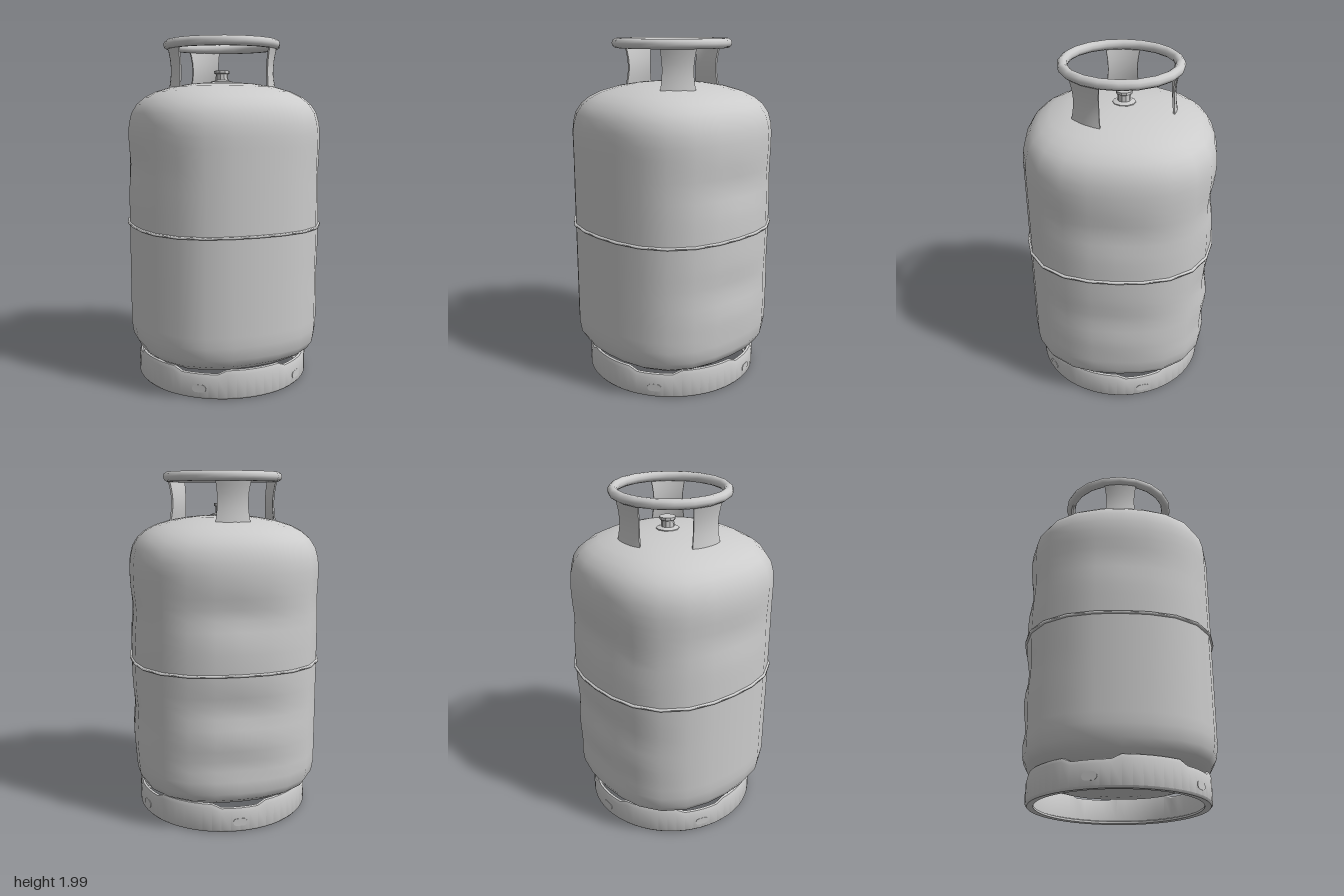
import * as THREE from 'three';
import { mergeVertices, toCreasedNormals } from 'three/addons/utils/BufferGeometryUtils.js';

const material = new THREE.MeshStandardMaterial({ color: 0xcccccc });
const DEG = Math.PI / 180;
const SEAM_Y = 0.93;

function add(group, name, geometry) {
  const mesh = new THREE.Mesh(geometry, material);
  mesh.name = name;
  group.add(mesh);
  return mesh;
}

const lathe = (profile, sides) =>
  new THREE.LatheGeometry(profile.map(([r, y]) => new THREE.Vector2(r, y)), sides);

// Moves every vertex with a rule on a Vector3
function deform(geometry, rule) {
  const p = geometry.attributes.position;
  const v = new THREE.Vector3();
  for (let i = 0; i < p.count; i++) {
    rule(v.fromBufferAttribute(p, i));
    p.setXYZ(i, v.x, v.y, v.z);
  }
  return geometry;
}

// Welds a geometry so its normals are smooth all over
function smooth(geometry) {
  geometry.deleteAttribute('uv');
  geometry.deleteAttribute('normal');
  const welded = mergeVertices(geometry, 1e-4);
  welded.computeVertexNormals();
  return welded;
}

// Signed angle between two azimuths, in radians
const angleGap = (a, b) => Math.atan2(Math.sin(a - b), Math.cos(a - b));

// Dents: azimuth from +z in degrees, height, depth
const dents = [
  [180, 1.24, 0.03], [180, 0.72, 0.03], [180, 0.4, 0.025],
  [90, 1.22, 0.018], [90, 0.63, 0.015], [90, 0.32, 0.012],
  [270, 1.28, 0.015],
];

// Makes the round section slightly square and pushes the dents in
function shapeBody(v) {
  const r = Math.hypot(v.x, v.z);
  if (r < 1e-5) return;
  const a = Math.atan2(v.x, v.z);
  const outer = Math.min(1, r / 0.54);
  let scale = 1 + 0.075 * outer * Math.sin(2 * a) ** 2;
  for (const [az, y, depth] of dents) {
    const da = angleGap(a, az * DEG) / 0.5;
    const dy = (v.y - y) / 0.1;
    scale -= (depth / 0.545) * Math.exp(-da * da - dy * dy);
  }
  v.x *= scale;
  v.z *= scale;
}

export function createModel() {
  const model = new THREE.Group();
  model.name = 'gasCylinder';

  // Tank with domed ends
  const profile = [[0, 0.11], [0.2, 0.115], [0.36, 0.135], [0.46, 0.17], [0.51, 0.205], [0.535, 0.25]];
  for (let y = 0.32; y < 1.47; y += 0.06) profile.push([0.545, y]);
  profile.push([0.54, 1.52], [0.525, 1.58], [0.495, 1.63], [0.45, 1.67], [0.39, 1.702],
    [0.3, 1.73], [0.2, 1.747], [0.1, 1.756], [0, 1.76]);
  add(model, 'tank', smooth(deform(lathe(profile, 24), shapeBody)));

  // Weld seam round the middle
  const seam = lathe([[0.535, SEAM_Y - 0.008], [0.556, SEAM_Y - 0.006],
    [0.556, SEAM_Y + 0.006], [0.535, SEAM_Y + 0.008]], 24);
  add(model, 'weldSeam', smooth(deform(seam, shapeBody)));

  // Foot ring with five notches in its top edge
  const foot = lathe([[0.465, 0.012], [0.5, 0.01], [0.51, 0.022], [0.51, 0.155], [0.502, 0.176],
    [0.49, 0.18], [0.482, 0.17], [0.482, 0.03], [0.465, 0.024], [0.465, 0.012]], 60);
  deform(foot, (v) => {
    if (v.y < 0.1) return;
    const a = Math.atan2(v.x, v.z) / DEG + 360;
    const gap = Math.abs(((a + 36) % 72) - 36 - 36);
    const fromSlot = Math.min(gap, 72 - gap);
    if (fromSlot < 14) v.y -= 0.024;
  });
  add(model, 'footRing', toCreasedNormals(foot, 0.7));

  // Oblong drain slots below the notches
  for (let i = 0; i < 5; i++) {
    const slot = new THREE.Group();
    slot.name = 'drainSlot';
    slot.rotation.y = (36 + 72 * i) * DEG;
    const shape = new THREE.Shape();
    shape.absarc(0.018, 0, 0.022, -Math.PI / 2, Math.PI / 2);
    shape.absarc(-0.018, 0, 0.022, Math.PI / 2, Math.PI * 1.5);
    const plate = new THREE.ExtrudeGeometry(shape, { depth: 0.012, bevelEnabled: false, curveSegments: 5 });
    add(slot, 'drainSlotPlate', plate).position.set(0, 0.07, 0.499);
    model.add(slot);
  }

  // Carrying ring
  const handle = new THREE.TorusGeometry(0.315, 0.028, 10, 20);
  handle.rotateX(Math.PI / 2);
  add(model, 'handleRing', handle).position.set(0, 1.972, -0.004);

  // Curved straps that carry the ring, pinched at mid height
  for (const az of [180, 270, 54]) {
    const strap = deform(new THREE.BoxGeometry(2, 1, 0.01, 6, 6, 1), (v) => {
      const pinch = Math.cos(v.y * Math.PI);
      const a = az * DEG + v.x * (0.325 - 0.035 * pinch);
      const r = 0.312 + 0.008 * v.y - 0.016 * pinch + v.z;
      v.set(Math.sin(a) * r, 1.84 + v.y * 0.25, Math.cos(a) * r);
    });
    add(model, 'handleStrap', toCreasedNormals(strap, 0.7));
  }

  // Valve on its collar
  const valve = lathe([[0.065, 1.74], [0.065, 1.762], [0.038, 1.77], [0.036, 1.805],
    [0.046, 1.81], [0.046, 1.825], [0, 1.825]], 10);
  add(model, 'valve', toCreasedNormals(valve, 0.6)).position.set(0.006, 0, -0.02);

  return model;
}
